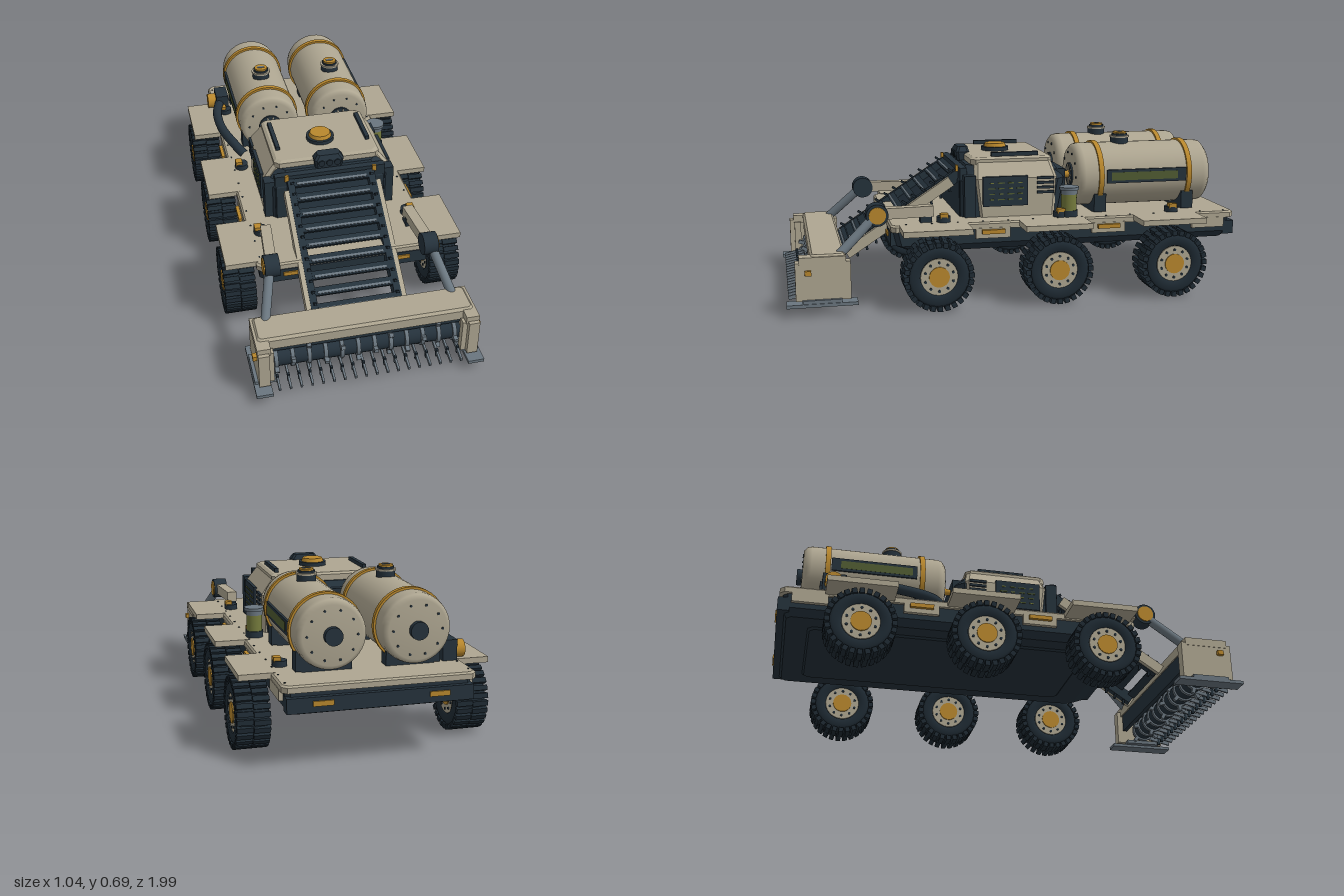
import * as THREE from 'three';

const mat = (name, color) => new THREE.MeshStandardMaterial({ name, color });

export function createModel() {
  const tan = mat('tan paint', 0xaea691), dark = mat('dark navy', 0x25323c), black = mat('black rubber', 0x1f2b34);
  const gold = mat('gold', 0xb9882d), steel = mat('steel', 0x6a767f), olive = mat('olive', 0x747a3c), screen = mat('screen green', 0x515d32);
  const model = new THREE.Group();
  let parent = model;

  const add = (name, geo, m, x = 0, y = 0, z = 0) => {
    const mesh = new THREE.Mesh(geo, m);
    mesh.name = name;
    mesh.position.set(x, y, z);
    parent.add(mesh);
    return mesh;
  };
  const box = (name, m, w, h, d, x, y, z) => add(name, new THREE.BoxGeometry(w, h, d), m, x, y, z);
  const cyl = (name, m, axis, r, len, x, y, z, r2 = r, seg = 24) => {
    const g = new THREE.CylinderGeometry(r2, r, len, seg);
    if (axis === 'x') g.rotateZ(-Math.PI / 2);
    if (axis === 'z') g.rotateX(Math.PI / 2);
    return add(name, g, m, x, y, z);
  };
  // Straight bar between two points
  const bar = (name, m, a, b, w, h, round) => {
    const p = new THREE.Vector3(...a), q = new THREE.Vector3(...b), len = p.distanceTo(q);
    const g = round ? new THREE.CylinderGeometry(w, w, len, 16).rotateX(Math.PI / 2) : new THREE.BoxGeometry(w, h, len);
    const mesh = add(name, g, m);
    mesh.position.copy(p).add(q).multiplyScalar(0.5);
    mesh.lookAt(q);
    return mesh;
  };
  // Stacked rectangles with cut corners: [y, halfWidth, zBack, zFront]
  const loft = (name, m, rings, c) => {
    const pos = [], idx = [], n = 8;
    for (const [y, w, a, b] of rings) {
      for (const [x, z] of [[w, b - c], [w, a + c], [w - c, a], [c - w, a], [-w, a + c], [-w, b - c], [c - w, b], [w - c, b]]) pos.push(x, y, z);
    }
    for (let r = 0; r < rings.length - 1; r++) {
      for (let i = 0; i < n; i++) {
        const p = r * n + i, q = r * n + (i + 1) % n;
        idx.push(p, q, q + n, p, q + n, p + n);
      }
    }
    const t = (rings.length - 1) * n;
    for (let i = 1; i < n - 1; i++) idx.push(t, t + i, t + i + 1, 0, i + 1, i);
    const g = new THREE.BufferGeometry();
    g.setAttribute('position', new THREE.Float32BufferAttribute(pos, 3));
    g.setIndex(idx);
    const flat = g.toNonIndexed();
    flat.computeVertexNormals();
    return add(name, flat, m);
  };
  const group = (name, fn) => {
    const g = new THREE.Group(), old = parent;
    g.name = name;
    old.add(g);
    parent = g;
    fn(g);
    parent = old;
  };
  const sides = [1, -1], axles = [0.375, -0.14, -0.655];

  group('chassis', () => {
    loft('hull', dark, [[0.22, 0.345, -0.95, 0.47], [0.25, 0.37, -0.97, 0.53], [0.315, 0.37, -0.97, 0.545]], 0.02);
    loft('bellyPlate', dark, [[0.212, 0.26, -0.85, 0.36], [0.222, 0.27, -0.86, 0.37]], 0.02);
    loft('deck', tan, [[0.313, 0.385, -0.985, 0.555], [0.335, 0.385, -0.985, 0.555], [0.342, 0.378, -0.978, 0.548]], 0.02);
    box('rearBumper', dark, 0.74, 0.06, 0.05, 0, 0.265, -0.965);
    box('noseBlock', dark, 0.7, 0.06, 0.03, 0, 0.28, 0.54);
    for (const s of sides) {
      box('noseStripe', gold, 0.07, 0.018, 0.008, s * 0.24, 0.287, 0.557);
      box('rearStripe', gold, 0.08, 0.02, 0.008, s * 0.23, 0.27, -0.992);
      for (const z of [0.12, -0.395, -0.86]) box('sideBlock', tan, 0.035, 0.045, 0.15, s * 0.37, 0.295, z);
      for (const z of [0.12, -0.395]) box('sideStripe', gold, 0.016, 0.018, 0.1, s * 0.394, 0.302, z);
      for (const z of axles) {
        box('fender', tan, 0.145, 0.024, 0.29, s * 0.44, 0.331, z);
        cyl('lampBase', dark, 'y', 0.03, 0.025, s * 0.33, 0.353, z - 0.05);
        box('lampLens', gold, 0.03, 0.02, 0.035, s * 0.342, 0.37, z - 0.05);
      }
      for (let i = 0; i < 14; i++) cyl('deckBolt', dark, 'y', 0.004, 0.004, s * 0.365, 0.343, -0.94 + i * 0.11, 0.004, 8);
    }
  });

  // Wheel along x with the same hub on both faces
  const tyreProfile = [[0.076, -0.05], [0.082, -0.064], [0.115, -0.066], [0.13, -0.054], [0.135, 0], [0.13, 0.054], [0.115, 0.066], [0.082, 0.064], [0.076, 0.05]].map(p => new THREE.Vector2(...p));
  const wheel = (s, z) => group('wheel', g => {
    g.position.set(s * 0.453, 0.148, z);
    add('tyre', new THREE.LatheGeometry(tyreProfile, 48).rotateZ(-Math.PI / 2), black);
    for (let i = 0; i < 28; i++) for (const k of sides) {
      const a = (i + k * 0.08) * Math.PI / 14;
      const t = box('tread', black, 0.066, 0.022, 0.021, k * 0.034, 0.136 * Math.cos(a), 0.136 * Math.sin(a));
      t.rotation.x = a;
    }
    cyl('rim', tan, 'x', 0.078, 0.118, 0, 0, 0);
    cyl('hub', gold, 'x', 0.043, 0.128, 0, 0, 0);
    for (const f of sides) for (let i = 0; i < 10; i++) {
      const a = i * Math.PI / 5;
      cyl('wheelBolt', dark, 'x', 0.006, 0.006, f * 0.06, 0.061 * Math.cos(a), 0.061 * Math.sin(a), 0.006, 8);
    }
  });
  for (const s of sides) for (const z of axles) wheel(s, z);

  const tank = s => group('tank', g => {
    g.position.set(s * 0.17, 0.5, 0);
    const prof = [[0, -0.9], [0.118, -0.9], [0.136, -0.885], [0.14, -0.865], [0.14, -0.315], [0.136, -0.295], [0.118, -0.28], [0, -0.28]];
    add('tankShell', new THREE.LatheGeometry(prof.map(p => new THREE.Vector2(...p)), 40).rotateX(Math.PI / 2), tan);
    for (const z of [-0.385, -0.795]) {
      cyl('band', gold, 'z', 0.149, 0.022, 0, 0, z, 0.149, 40);
      box('cradle', dark, 0.2, 0.06, 0.055, 0, -0.13, z);
      box('cradleFoot', dark, 0.05, 0.08, 0.055, s * 0.1, -0.115, z);
    }
    for (const [z, d] of [[-0.9, -1], [-0.28, 1]]) {
      cyl('endHub', dark, 'z', d > 0 ? 0.052 : 0.036, d > 0 ? 0.014 : 0.045, 0, 0, z, d > 0 ? 0.052 : 0.036, 20);
      for (let i = 0; i < 10; i++) {
        const a = i * Math.PI / 5;
        cyl('endBolt', dark, 'z', 0.005, 0.006, 0.1 * Math.cos(a), 0.1 * Math.sin(a), z + d * 0.001, 0.005, 8);
        if (d > 0) {
          const v = box('valveSpoke', tan, 0.006, 0.026, 0.008, 0.033 * Math.cos(a), 0.033 * Math.sin(a), z + 0.006);
          v.rotation.z = a - Math.PI / 2;
        }
      }
    }
    cyl('nozzle', gold, 'z', 0.018, 0.05, 0, 0, -0.255, 0.012);
    cyl('fillerNeck', dark, 'y', 0.04, 0.04, 0, 0.142, -0.51);
    cyl('fillerFlange', tan, 'y', 0.044, 0.008, 0, 0.166, -0.51);
    cyl('fillerCollar', dark, 'y', 0.035, 0.01, 0, 0.174, -0.51);
    cyl('fillerCap', gold, 'y', 0.03, 0.009, 0, 0.182, -0.51);
    box('fillerGrip', steel, 0.034, 0.004, 0.014, 0, 0.187, -0.51);
    box('gaugePanel', dark, 0.02, 0.06, 0.37, s * 0.135, 0.005, -0.595);
    box('gaugeStrip', screen, 0.008, 0.036, 0.31, s * 0.142, 0.005, -0.585);
  });
  sides.forEach(tank);

  group('cabin', () => {
    loft('cabinCore', dark, [[0.34, 0.275, -0.2, 0.24], [0.5, 0.275, -0.23, 0.24], [0.562, 0.225, -0.19, 0.2]], 0.035);
    loft('cabinShell', tan, [[0.34, 0.285, -0.18, 0.16], [0.51, 0.285, -0.19, 0.18], [0.575, 0.235, -0.175, 0.17]], 0.015);
    loft('roofPlate', tan, [[0.565, 0.235, -0.18, 0.185], [0.588, 0.235, -0.18, 0.185], [0.597, 0.222, -0.168, 0.172]], 0.02);
    box('frontPanel', dark, 0.49, 0.21, 0.03, 0, 0.45, 0.222);
    box('rearPanel', dark, 0.46, 0.19, 0.05, 0, 0.44, -0.215);
    for (const s of sides) {
      box('sidePanel', dark, 0.014, 0.13, 0.2, s * 0.287, 0.455, 0.045);
      for (let r = 0; r < 4; r++) for (let i = 0; i < 4; i++) {
        box('screenMark', (r + i) % 3 ? screen : olive, 0.004, 0.005, 0.016 + 0.008 * ((r + i) % 3), s * 0.295, 0.42 + r * 0.024, -0.02 + i * 0.042);
      }
      for (let i = 0; i < 4; i++) box('ventSlat', dark, 0.014, 0.011, 0.075, s * 0.286, 0.445 + i * 0.021, -0.135);
      box('frontCorner', dark, 0.05, 0.18, 0.05, s * 0.265, 0.435, 0.2);
      box('roofRail', dark, 0.018, 0.022, 0.21, s * 0.203, 0.603, -0.015);
      box('frontMarker', gold, 0.018, 0.028, 0.012, s * 0.195, 0.548, 0.243);
    }
    cyl('hatchBase', dark, 'y', 0.062, 0.022, 0, 0.603, 0.03);
    cyl('hatch', gold, 'y', 0.052, 0.02, 0, 0.62, 0.03, 0.045);
    loft('sensor', dark, [[0.56, 0.06, 0.16, 0.215], [0.6, 0.065, 0.16, 0.22], [0.622, 0.05, 0.165, 0.21]], 0.01);
    for (const x of [-0.035, 0, 0.035]) cyl('sensorEye', black, 'z', 0.014, 0.012, x, 0.588, 0.219);
  });

  // Sloping pick-up conveyor
  group('conveyor', g => {
    g.position.set(0, 0.36, 0.475);
    g.rotation.x = 0.58;
    for (const s of sides) {
      box('conveyorRail', tan, 0.02, 0.045, 0.55, s * 0.204, 0, 0.03);
      box('beltChain', dark, 0.03, 0.05, 0.59, s * 0.179, 0, 0);
      for (let i = 0; i < 12; i++) for (const k of sides) {
        const t = box('chainTooth', black, 0.012, 0.024, 0.01, s * 0.176, k * 0.034, -0.27 + i * 0.049);
        t.rotation.x = k * 0.4;
      }
    }
    for (let i = 0; i < 9; i++) {
      box('slat', dark, 0.33, 0.018, 0.036, 0, 0.018, -0.275 + i * 0.07);
      box('slatEdge', steel, 0.31, 0.006, 0.01, 0, 0.028, -0.268 + i * 0.07);
    }
    box('beltBacking', black, 0.34, 0.012, 0.3, 0, -0.015, -0.14);
  });

  group('harvestHeader', () => {
    loft('headerBeam', tan, [[0.2, 0.45, 0.75, 0.895], [0.242, 0.45, 0.75, 0.895], [0.253, 0.44, 0.76, 0.885]], 0.01);
    box('headerBack', dark, 0.8, 0.09, 0.02, 0, 0.165, 0.765);
    box('headerUnderside', dark, 0.8, 0.035, 0.11, 0, 0.185, 0.82);
    cyl('drum', dark, 'x', 0.045, 0.8, 0, 0.12, 0.85);
    for (const s of sides) {
      box('endPlate', tan, 0.045, 0.16, 0.225, s * 0.433, 0.143, 0.844);
      box('endCap', tan, 0.055, 0.035, 0.19, s * 0.43, 0.228, 0.845);
      box('endPost', tan, 0.03, 0.15, 0.03, s * 0.405, 0.14, 0.92);
      box('skid', steel, 0.068, 0.014, 0.29, s * 0.44, 0.047, 0.85);
      box('skidFoot', steel, 0.09, 0.016, 0.16, s * 0.425, 0.06, 0.85);
      box('endBolt', gold, 0.02, 0.02, 0.026, s * 0.462, 0.182, 0.905);
    }
    for (let i = 0; i < 12; i++) {
      const x = (i - 5.5) * 0.068, a = i * 1.3;
      cyl('drumRing', steel, 'x', 0.053, 0.016, x, 0.12, 0.85);
      for (const k of [0, 2.09, 4.19]) {
        const b = box('drumTooth', steel, 0.018, 0.026, 0.016, x, 0.12 + 0.06 * Math.cos(a + k), 0.85 + 0.06 * Math.sin(a + k));
        b.rotation.x = a + k;
      }
    }
    for (let i = 0; i < 18; i++) {
      const x = (i - 8.5) * 0.0445;
      bar('tine', steel, [x, 0.095, 0.83], [x, 0.06, 0.985], 0.009, 0.016);
      box('tineTip', dark, 0.01, 0.035, 0.012, x, 0.07, 0.93);
    }
  });

  // Lift arms on both sides
  for (const s of sides) group('liftArm', () => {
    box('armMount', dark, 0.04, 0.04, 0.05, s * 0.315, 0.36, 0.4);
    bar('arm', tan, [s * 0.315, 0.39, 0.37], [s * 0.335, 0.39, 0.6], 0.045, 0.046);
    cyl('armJoint', dark, 'x', 0.047, 0.062, s * 0.336, 0.387, 0.61);
    cyl('jointCap', gold, 'x', 0.036, 0.01, s * 0.367, 0.387, 0.61);
    bar('piston', steel, [s * 0.345, 0.38, 0.62], [s * 0.395, 0.235, 0.775], 0.02, 0, true);
  });

  group('canister', () => {
    cyl('canisterBase', dark, 'y', 0.038, 0.03, 0.33, 0.355, -0.23);
    cyl('canisterBody', olive, 'y', 0.034, 0.075, 0.33, 0.405, -0.23);
    cyl('canisterLid', steel, 'y', 0.036, 0.02, 0.33, 0.45, -0.23);
    cyl('lidFlange', steel, 'y', 0.043, 0.013, 0.33, 0.466, -0.23);
  });

  group('hose', () => {
    const path = new THREE.CatmullRomCurve3([[-0.35, 0.385, -0.75], [-0.38, 0.385, -0.63], [-0.375, 0.38, -0.48], [-0.33, 0.37, -0.33], [-0.3, 0.345, -0.29]].map(p => new THREE.Vector3(...p)));
    add('hoseTube', new THREE.TubeGeometry(path, 24, 0.022, 12), dark);
    box('pumpBlock', dark, 0.06, 0.085, 0.1, -0.34, 0.385, -0.765);
    cyl('pumpCap', gold, 'x', 0.036, 0.04, -0.39, 0.38, -0.77);
  });
  return model;
}
